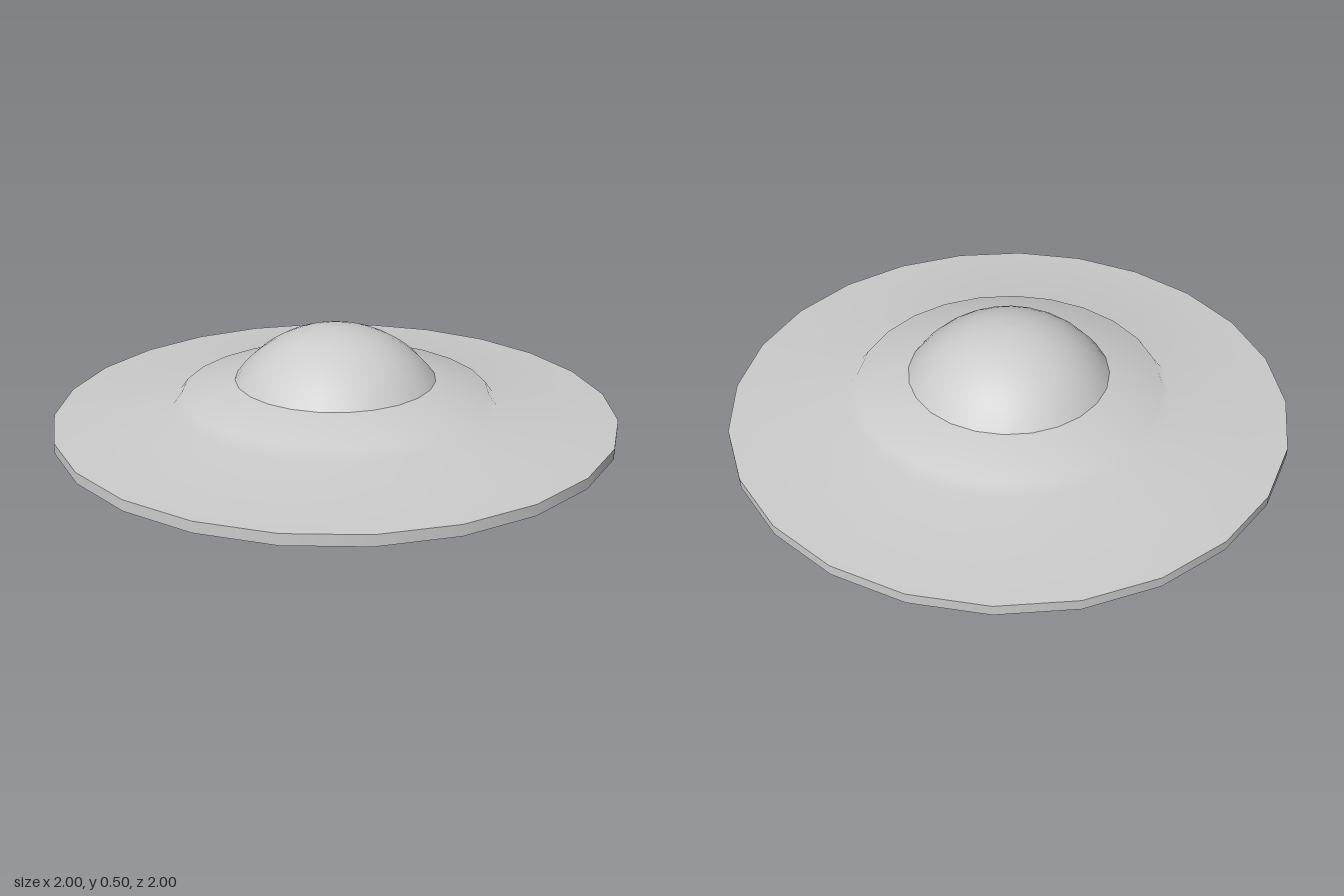
import * as THREE from 'three';

const SIDES = 24;
const grey = new THREE.MeshStandardMaterial({ color: 0xcccccc });

// Revolve a profile of [radius, height] pairs, listed from the bottom centre outwards and up
function revolve(name, profile) {
  const points = profile.map(([r, y]) => new THREE.Vector2(r, y));
  const mesh = new THREE.Mesh(new THREE.LatheGeometry(points, SIDES), grey);
  mesh.name = name;
  return mesh;
}

// Spherical cap profile from its base edge to its tip
function capProfile(radius, base, top, steps) {
  const height = top - base;
  const R = (radius * radius + height * height) / (2 * height);
  const sweep = Math.asin(radius / R);
  return Array.from({ length: steps + 1 }, (_, i) => {
    const a = sweep * (1 - i / steps);
    return [R * Math.sin(a), top - R + R * Math.cos(a)];
  });
}

export function createModel() {
  const saucer = new THREE.Group();
  saucer.name = 'saucer';
  saucer.add(
    // Shallow underside with a flat base
    revolve('underside', [[0, 0], [0.36, 0], [1, 0.165]]),
    // Thin vertical edge
    revolve('rim', [[1, 0.165], [1, 0.203]]),
    // Sloping deck with a raised step around the dome
    revolve('upperHull', [[1, 0.203], [0.58, 0.23], [0.55, 0.27], [0.36, 0.312]]),
    // Cockpit dome
    revolve('dome', capProfile(0.36, 0.312, 0.498, 10))
  );
  return saucer;
}
